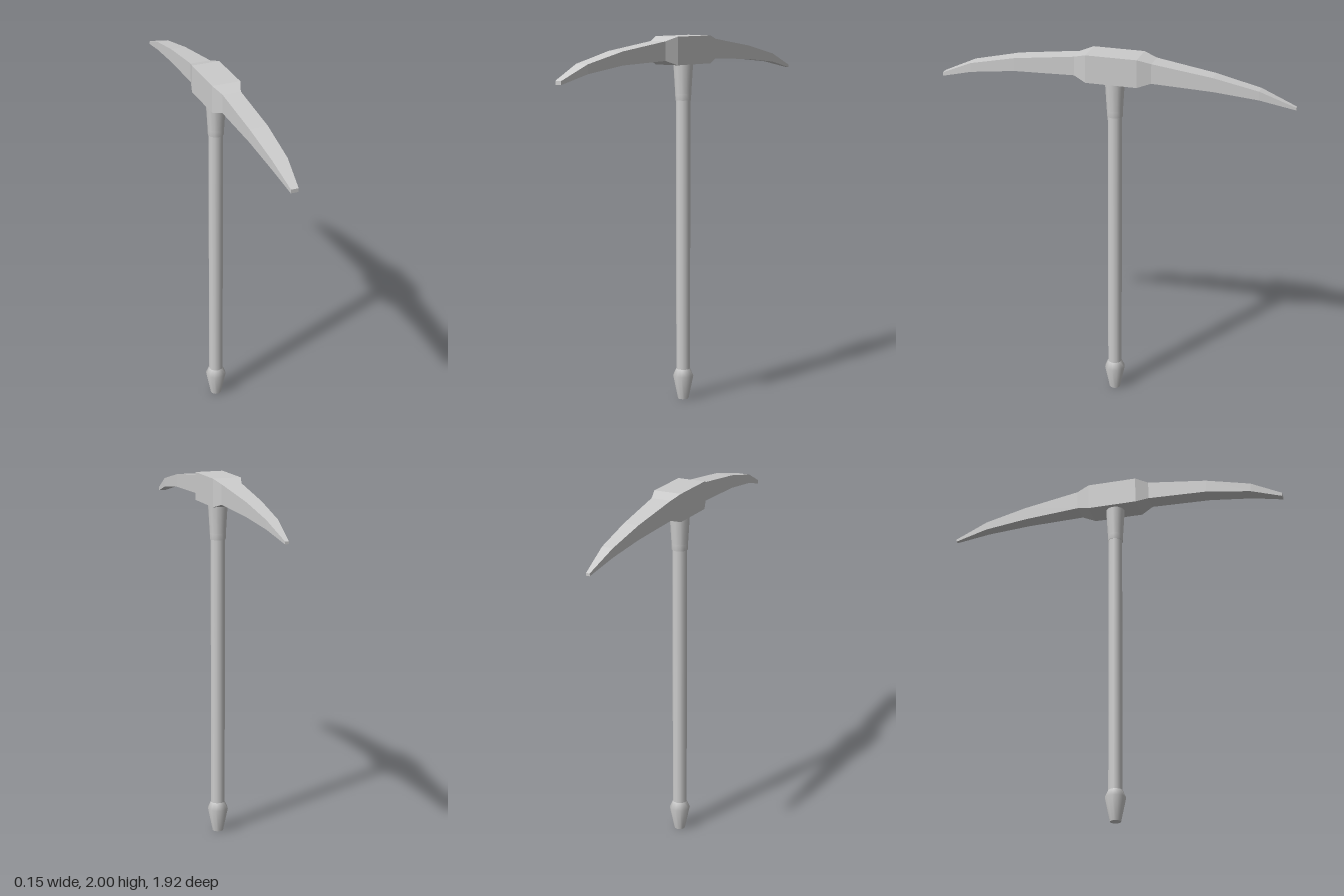
import * as THREE from 'three';

const metal = new THREE.MeshStandardMaterial({ color: 0xcccccc });
metal.name = 'pale grey';

// Loft rectangular sections [z, bottom, top, halfWidth], ordered back to front, with flat faces
function loftSections(sections) {
  const rings = sections.map(([z, b, t, w]) => [[w, b, z], [w, t, z], [-w, t, z], [-w, b, z]]);
  const pos = [];
  const quad = (a, b, c, d) => pos.push(...a, ...b, ...c, ...a, ...c, ...d);
  for (let i = 0; i < rings.length - 1; i++) {
    for (let k = 0; k < 4; k++) {
      const n = (k + 1) % 4;
      quad(rings[i][k], rings[i][n], rings[i + 1][n], rings[i + 1][k]);
    }
  }
  quad(...rings[rings.length - 1]);
  quad(...[...rings[0]].reverse());
  const geo = new THREE.BufferGeometry();
  geo.setAttribute('position', new THREE.Float32BufferAttribute(pos, 3));
  geo.computeVertexNormals();
  return geo;
}

function addMesh(group, name, geometry) {
  const mesh = new THREE.Mesh(geometry, metal);
  mesh.name = name;
  group.add(mesh);
}

// Turned part made of [radius, y] points, from the bottom up
const turned = (points) =>
  new THREE.LatheGeometry(points.map(([r, y]) => new THREE.Vector2(r, y)), 12);

export function createModel() {
  const group = new THREE.Group();
  group.name = 'pickaxe';

  // Head: narrow pick at the back, thick eye block, broader blade at the front
  addMesh(group, 'head', loftSections([
    [-0.96, 1.792, 1.806, 0.01],
    [-0.77, 1.833, 1.88, 0.03],
    [-0.53, 1.857, 1.932, 0.041],
    [-0.21, 1.873, 1.979, 0.055],
    [-0.138, 1.85, 2.0, 0.077],
    [0.138, 1.85, 2.0, 0.077],
    [0.207, 1.875, 1.977, 0.05],
    [0.54, 1.865, 1.936, 0.049],
    [0.79, 1.832, 1.881, 0.04],
    [0.96, 1.786, 1.806, 0.02],
  ]));

  // Handle: butt cap, flared knob, straight shaft, collar under the head
  addMesh(group, 'buttCap', turned([[0, 0], [0.03, 0]]));
  addMesh(group, 'knob', turned([[0.03, 0], [0.057, 0.13], [0.039, 0.17]]));
  addMesh(group, 'shaft', turned([[0.039, 0.17], [0.039, 1.66]]));
  addMesh(group, 'collarRim', turned([[0.039, 1.655], [0.043, 1.655], [0.044, 1.69]]));
  addMesh(group, 'collar', turned([[0.044, 1.69], [0.054, 1.852]]));

  return group;
}
